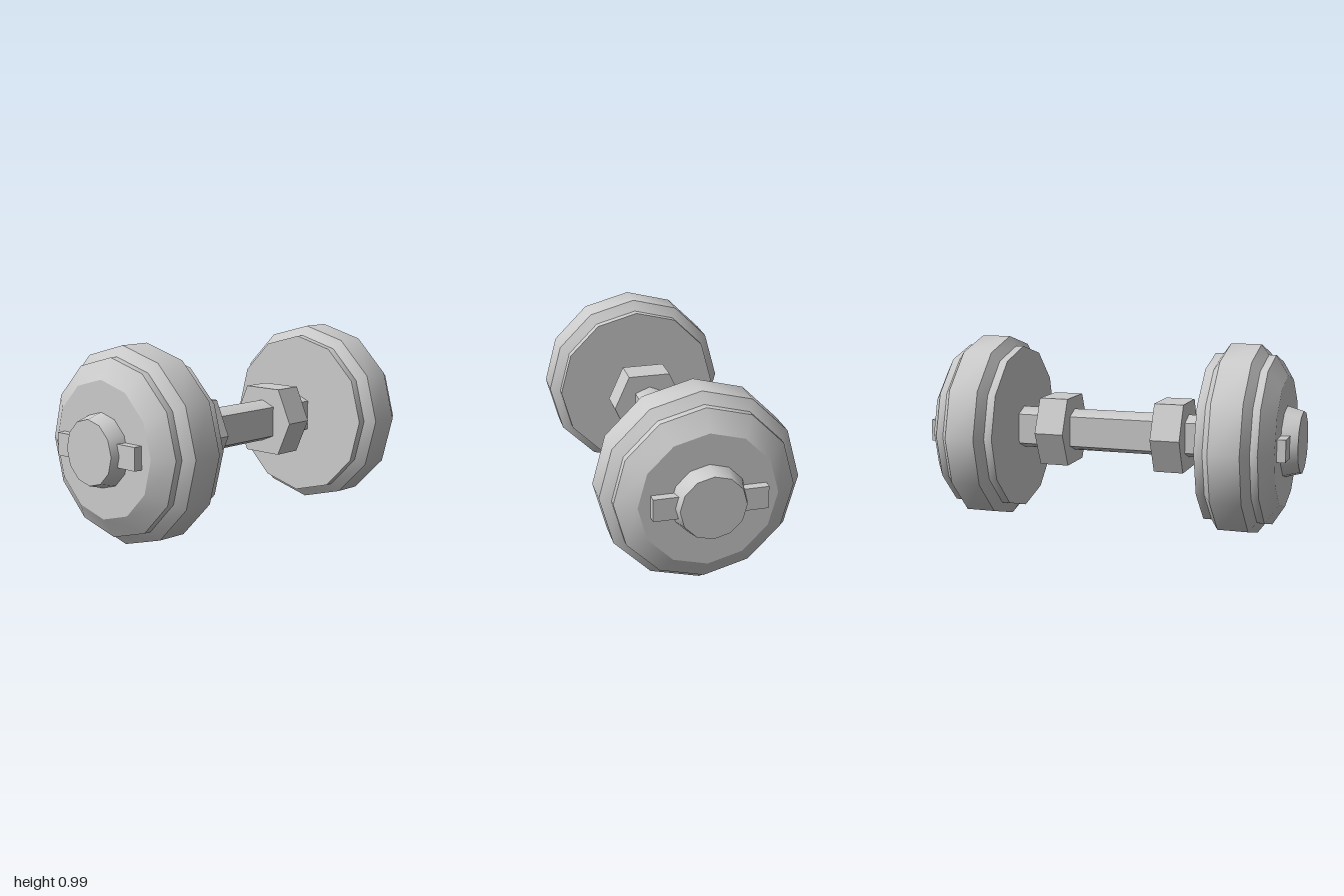
import * as THREE from 'three';
import { toCreasedNormals } from 'three/addons/utils/BufferGeometryUtils.js';

const material = new THREE.MeshStandardMaterial({ color: 0xcccccc });
const AXIS_Y = 0.497;

function mesh(name, geometry) {
  const m = new THREE.Mesh(geometry, material);
  m.name = name;
  return m;
}

// Twelve-sided solid turned about the x axis; profile is [x, radius] pairs
function turned(name, profile) {
  const g = new THREE.LatheGeometry(profile.map(([x, r]) => new THREE.Vector2(r, x)), 12);
  g.rotateZ(-Math.PI / 2);
  return mesh(name, toCreasedNormals(g, THREE.MathUtils.degToRad(31)));
}

// Prism along x with a [z, y] outline, centred on x = 0
function prism(name, outline, length, crease) {
  const shape = new THREE.Shape(outline.map(([z, y]) => new THREE.Vector2(z, y)));
  const g = new THREE.ExtrudeGeometry(shape, { depth: length, bevelEnabled: false });
  g.translate(0, 0, -length / 2);
  g.rotateY(Math.PI / 2);
  return mesh(name, toCreasedNormals(g, THREE.MathUtils.degToRad(crease)));
}

// Weight, nut and end cap for one end of the bar
function createEnd(name) {
  const end = new THREE.Group();
  end.name = name;

  end.add(turned('weightPlate', [
    [0.537, 0], [0.537, 0.443], [0.58, 0.443], [0.617, 0.495], [0.775, 0.495],
    [0.814, 0.443], [0.852, 0.443], [0.916, 0.342], [0.916, 0],
  ]));
  end.add(turned('endCap', [[0.9, 0], [0.9, 0.19], [1, 0.162], [1, 0]]));

  // Locking tabs either side of the cap
  for (const side of [-1, 1]) {
    const tab = mesh('lockingTab', new THREE.BoxGeometry(0.06, 0.114, 0.14));
    tab.position.set(0.93, 0.002, side * 0.21);
    end.add(tab);
  }

  // Hexagonal collar on the grip
  const collar = prism('hexCollar', [
    [0.196, 0], [0.114, 0.18], [-0.114, 0.18], [-0.196, 0], [-0.114, -0.18], [0.114, -0.18],
  ], 0.157, 10);
  collar.position.x = 0.319;
  end.add(collar);
  return end;
}

export function createModel() {
  const model = new THREE.Group();
  model.name = 'dumbbell';

  // Grip bar: flat sides, shallow ridge on top and bottom
  const grip = prism('gripBar', [
    [0, 0.113], [-0.079, 0.08], [-0.079, -0.08], [0, -0.113], [0.079, -0.08], [0.079, 0.08],
  ], 1.1, 50);

  const left = createEnd('leftEnd');
  const right = createEnd('rightEnd');
  right.rotation.y = Math.PI;

  for (const part of [grip, left, right]) {
    part.position.y = AXIS_Y;
    model.add(part);
  }
  return model;
}
